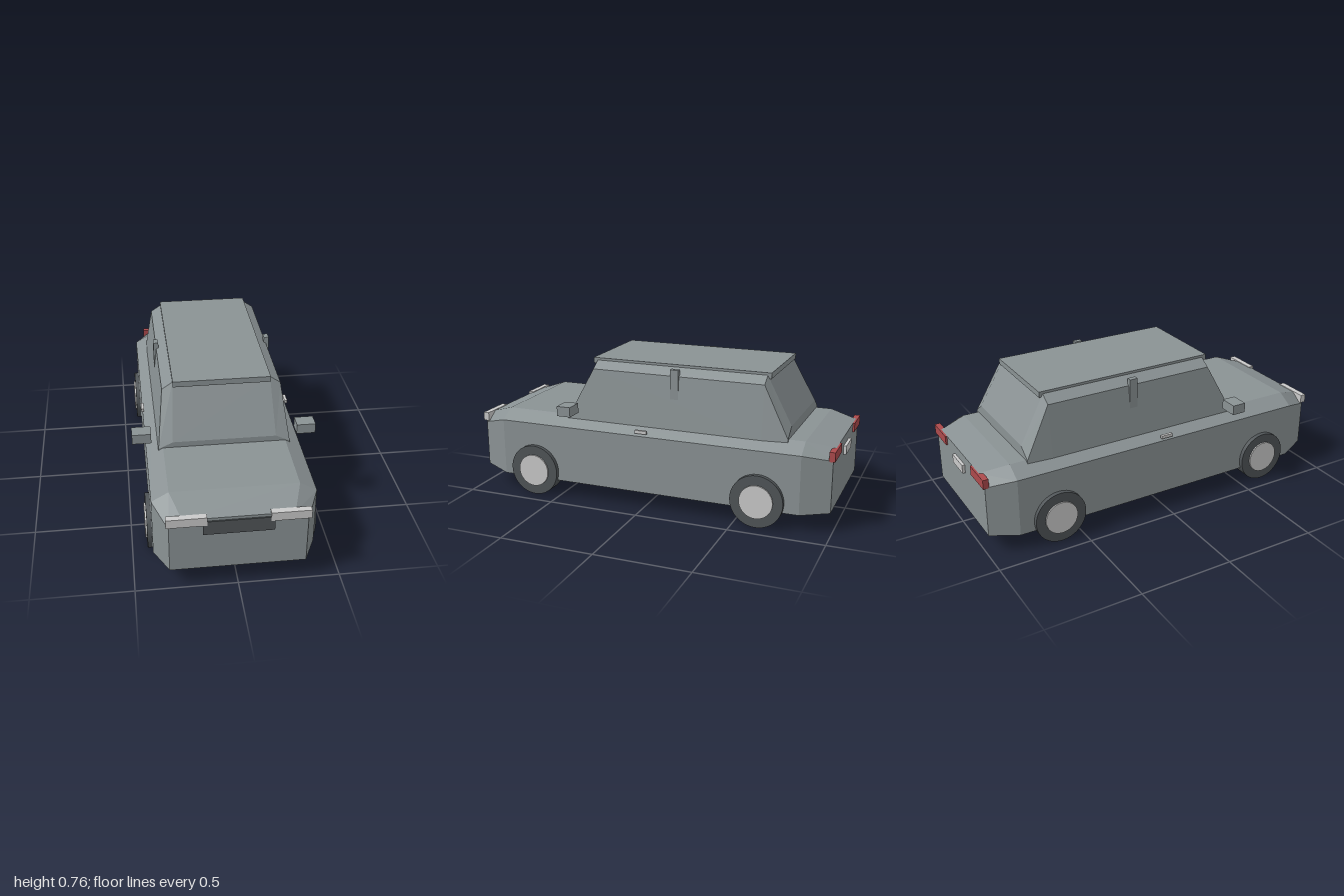
import * as THREE from 'three';

const paint = (name, color) => {
  const m = new THREE.MeshStandardMaterial({ color });
  m.name = name;
  return m;
};

// Hexagonal sections, front to back: z, floor y, half width at floor,
// shoulder half width and y, top half width and y
function loft(sections) {
  const rings = sections.map(([z, floor, wf, ws, ys, wt, yt]) => [
    [-wf, floor, z], [wf, floor, z], [ws, ys, z], [wt, yt, z], [-wt, yt, z], [-ws, ys, z],
  ]);
  const pos = [];
  const tri = (a, b, c) => pos.push(...a, ...b, ...c);
  const n = 6;
  for (let s = 0; s < rings.length - 1; s++) {
    const f = rings[s], r = rings[s + 1];
    for (let i = 0; i < n; i++) {
      const j = (i + 1) % n;
      tri(f[i], r[i], f[j]);
      tri(f[j], r[i], r[j]);
    }
  }
  const first = rings[0], last = rings[rings.length - 1];
  for (let i = 1; i < n - 1; i++) {
    tri(first[0], first[i], first[i + 1]);
    tri(last[0], last[i + 1], last[i]);
  }
  const g = new THREE.BufferGeometry();
  g.setAttribute('position', new THREE.Float32BufferAttribute(pos, 3));
  g.computeVertexNormals();
  return g;
}

export function createModel() {
  const car = new THREE.Group();
  car.name = 'car';
  const body = paint('grey body', 0x8a9294);
  const dark = paint('dark rubber', 0x505558);
  const light = paint('light trim', 0xcacaca);
  const red = paint('red lamp', 0xac4a4c);

  const add = (name, geometry, material) => {
    const m = new THREE.Mesh(geometry, material);
    m.name = name;
    car.add(m);
    return m;
  };
  // Box given by its limits on each axis
  const box = (name, mat, x0, x1, y0, y1, z0, z1) =>
    add(name, new THREE.BoxGeometry(x1 - x0, y1 - y0, z1 - z0), mat)
      .position.set((x0 + x1) / 2, (y0 + y1) / 2, (z0 + z1) / 2);
  const pair = (name, mat, x0, x1, ...rest) => {
    box(name + 'Left', mat, x0, x1, ...rest);
    box(name + 'Right', mat, -x1, -x0, ...rest);
  };

  // Lower body with tapered nose and tail
  add('lowerBody', loft([
    [0.99, 0.105, 0.33, 0.33, 0.353, 0.265, 0.4],
    [0.835, 0.09, 0.4, 0.4, 0.4, 0.315, 0.45],
    [-0.84, 0.09, 0.4, 0.4, 0.4, 0.315, 0.45],
    [-0.985, 0.1, 0.34, 0.34, 0.373, 0.27, 0.42],
  ]), body);

  // Cabin with sloping windscreen and rear window
  add('cabin', loft([
    [0.46, 0.43, 0.34, 0.338, 0.445, 0.265, 0.48],
    [0.32, 0.43, 0.34, 0.305, 0.713, 0.25, 0.75],
    [-0.62, 0.435, 0.34, 0.305, 0.713, 0.25, 0.75],
    [-0.755, 0.44, 0.337, 0.335, 0.455, 0.265, 0.505],
  ]), body);
  box('roofPanel', body, -0.25, 0.25, 0.733, 0.763, -0.64, 0.343);

  // Side fittings
  pair('doorPillar', body, 0.293, 0.32, 0.46, 0.75, -0.167, -0.123);
  pair('mirror', body, 0.373, 0.47, 0.482, 0.535, 0.382, 0.458);
  pair('doorHandle', light, 0.392, 0.407, 0.416, 0.433, -0.025, 0.04);

  // Front and rear fittings
  pair('headlight', light, 0.15, 0.343, 0.365, 0.411, 0.968, 1);
  box('grille', dark, -0.17, 0.17, 0.31, 0.385, 0.975, 0.997);
  pair('tailLight', red, 0.18, 0.347, 0.37, 0.42, -0.995, -0.965);
  box('rearPlate', light, -0.07, 0.07, 0.323, 0.37, -1, -0.98);

  // Wheels
  const tyre = new THREE.CylinderGeometry(0.139, 0.139, 0.078, 40).rotateZ(Math.PI / 2);
  const hub = new THREE.CylinderGeometry(0.088, 0.088, 0.03, 40).rotateZ(Math.PI / 2);
  for (const [end, z] of [['front', 0.64], ['rear', -0.625]]) {
    for (const [side, s] of [['Left', 1], ['Right', -1]]) {
      add(end + side + 'Tyre', tyre, dark).position.set(s * 0.384, 0.139, z);
      add(end + side + 'Hub', hub, light).position.set(s * 0.416, 0.139, z);
    }
  }
  return car;
}
